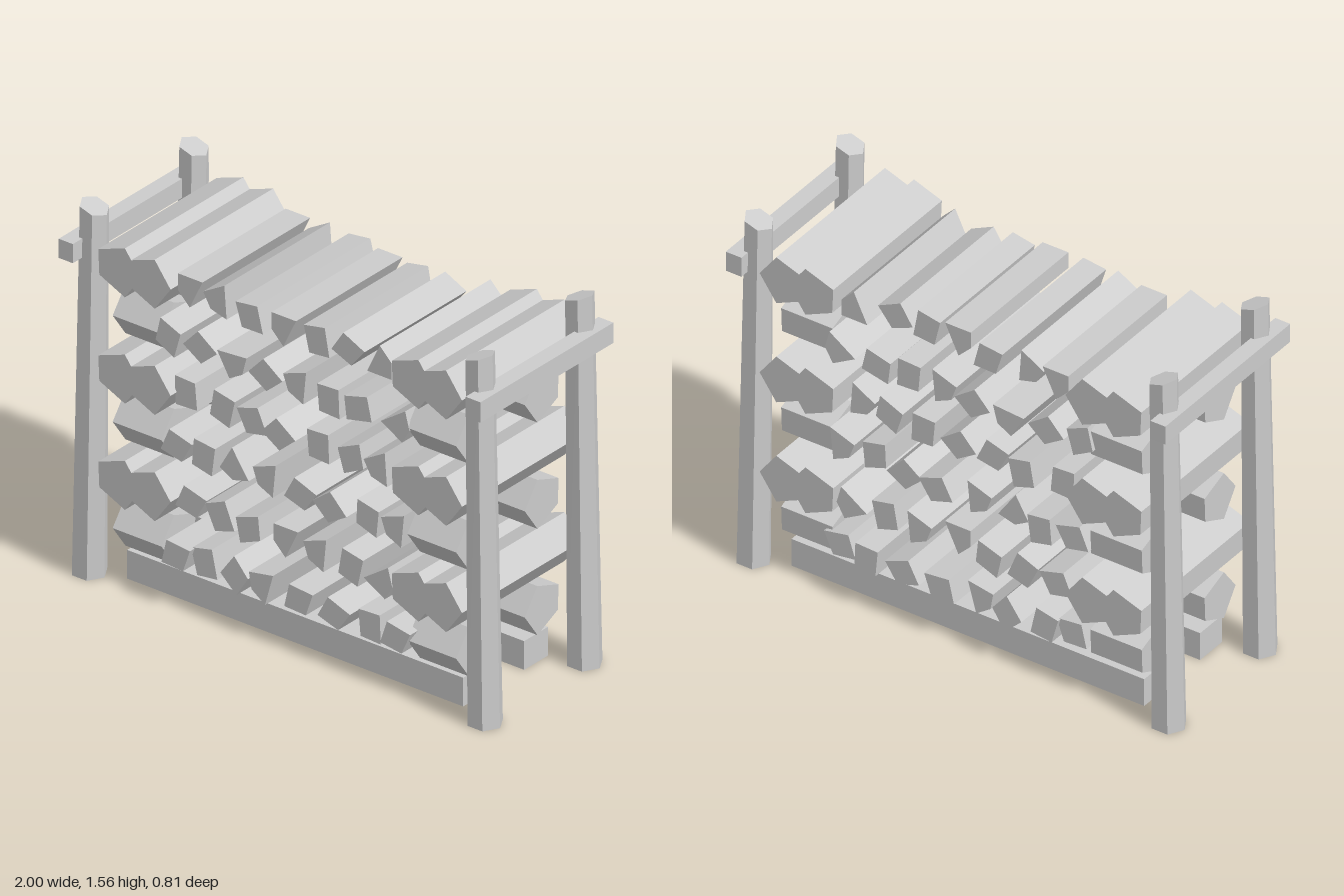
import * as THREE from 'three';

// Split log cross-sections, drawn around their own centres
const SECTIONS = {
  block: [[-0.045, -0.06], [0.05, -0.065], [0.045, 0.055], [-0.055, 0.05]],
  kite: [[-0.08, -0.01], [0.005, -0.065], [0.08, 0], [-0.01, 0.065]],
  wedge: [[-0.06, -0.055], [0.055, -0.055], [0.055, 0.015], [0, 0.07]],
  endLog: [[0, 0.055], [0.125, 0.1], [0.2, 0], [0.125, -0.105], [0.005, -0.05]],
};

const ROW_Y = [0.23, 0.455, 0.675, 0.9, 1.12, 1.345];

// Each split log: position across the stack, section, turn in degrees
const ROWS = [
  [[-0.495, 'kite', 30], [-0.38, 'block', 10], [-0.23, 'kite', 90], [-0.09, 'wedge', 190],
    [0.07, 'kite', 30], [0.24, 'kite', 15], [0.4, 'block', 0], [0.53, 'kite', 25]],
  [[-0.45, 'kite', 20], [-0.3, 'block', 20], [-0.155, 'kite', 55], [0.01, 'wedge', 180],
    [0.17, 'wedge', 200], [0.32, 'block', -15], [0.47, 'wedge', -30]],
  [[-0.51, 'kite', 20], [-0.38, 'block', -10], [-0.23, 'wedge', -120], [-0.08, 'wedge', 200],
    [0.08, 'kite', 15], [0.23, 'kite', -10], [0.39, 'kite', -60], [0.53, 'wedge', 200]],
  [[-0.47, 'block', 180], [-0.3, 'block', -15], [-0.15, 'kite', -30], [-0.01, 'kite', 0],
    [0.155, 'block', 0], [0.31, 'kite', 60], [0.45, 'wedge', 210]],
  [[-0.54, 'kite', -70], [-0.4, 'kite', 0], [-0.235, 'wedge', -60], [-0.08, 'kite', 0],
    [0.07, 'wedge', 200], [0.22, 'block', 0], [0.35, 'block', -80], [0.53, 'wedge', -30]],
  [[-0.445, 'wedge', 180], [-0.305, 'wedge', 210], [-0.145, 'kite', -40], [0.01, 'wedge', 180],
    [0.155, 'block', 8], [0.29, 'kite', 10], [0.445, 'wedge', 0]],
];

export function createModel() {
  const model = new THREE.Group();
  model.name = 'firewoodRack';
  const wood = new THREE.MeshStandardMaterial({ color: 0xcccccc });
  wood.name = 'paleGrey';

  let seed = 7;
  const random = () => (seed = (seed * 16807) % 2147483647) / 2147483647;

  const add = (name, geometry, x = 0, y = 0, z = 0, parent = model) => {
    const mesh = new THREE.Mesh(geometry, wood);
    mesh.name = name;
    mesh.position.set(x, y, z);
    parent.add(mesh);
    return mesh;
  };

  // Log running along z from zero to its length
  const logGeometry = (section, length) => new THREE.ExtrudeGeometry(
    new THREE.Shape(SECTIONS[section].map(([x, y]) => new THREE.Vector2(x, y))),
    { depth: length, bevelEnabled: false });

  // Six-sided posts: tapered, leaning inward, cut higher on the outside
  const postGeometry = (side, height) => {
    const geometry = new THREE.CylinderGeometry(0.058, 0.07, height, 6, 1).toNonIndexed();
    geometry.rotateY(Math.PI / 6);
    geometry.translate(0, height / 2, 0);
    const p = geometry.attributes.position;
    for (let i = 0; i < p.count; i++) {
      if (p.getY(i) > 0.1) {
        p.setY(i, height + 0.32 * side * p.getX(i));
        p.setX(i, p.getX(i) - side * 0.023);
      }
    }
    geometry.computeVertexNormals();
    return geometry;
  };
  for (const side of [-1, 1]) {
    for (const end of [-1, 1]) {
      add(end > 0 ? 'frontPost' : 'backPost', postGeometry(side, side < 0 ? 1.54 : 1.53),
        side * 0.93, 0, end > 0 ? 0.296 : -0.292);
    }
  }

  // Ground runners and top cross rails
  for (const end of [-1, 1]) {
    add('runner', new THREE.BoxGeometry(1.58, 0.12, 0.14), 0, 0.06, end * 0.18);
  }
  add('rightRail', new THREE.BoxGeometry(0.067, 0.08, 0.805), -0.957, 1.38, 0);
  add('leftRail', new THREE.BoxGeometry(0.07, 0.085, 0.785), 0.956, 1.363, 0.008);

  ROWS.forEach((logs, row) => {
    const group = new THREE.Group();
    group.name = 'logRow' + (row + 1);
    group.position.y = ROW_Y[row];
    model.add(group);

    if (row % 2 === 0) {
      // Short bearer logs lying across, their points towards the front
      for (const x of [-0.58, 0.805]) {
        for (const z of [0.11, -0.295]) {
          add('bearerLog', logGeometry('endLog', 0.23), x, 0, z, group).rotation.y = -Math.PI / 2;
        }
      }
    } else {
      // Paired long logs closing each end of the row
      for (const x of [-0.85, -0.71, 0.53, 0.66]) {
        add('endLog', logGeometry('endLog', 0.7), x, 0, -0.355, group);
      }
    }

    // Split logs filling the middle, with slightly uneven ends
    for (const [x, section, turn] of logs) {
      const back = -0.29 - 0.055 * random();
      const front = 0.3 + 0.04 * random();
      const log = add('splitLog', logGeometry(section, front - back), x, 0.004, back, group);
      log.rotation.z = THREE.MathUtils.degToRad(turn);
    }
  });

  return model;
}
